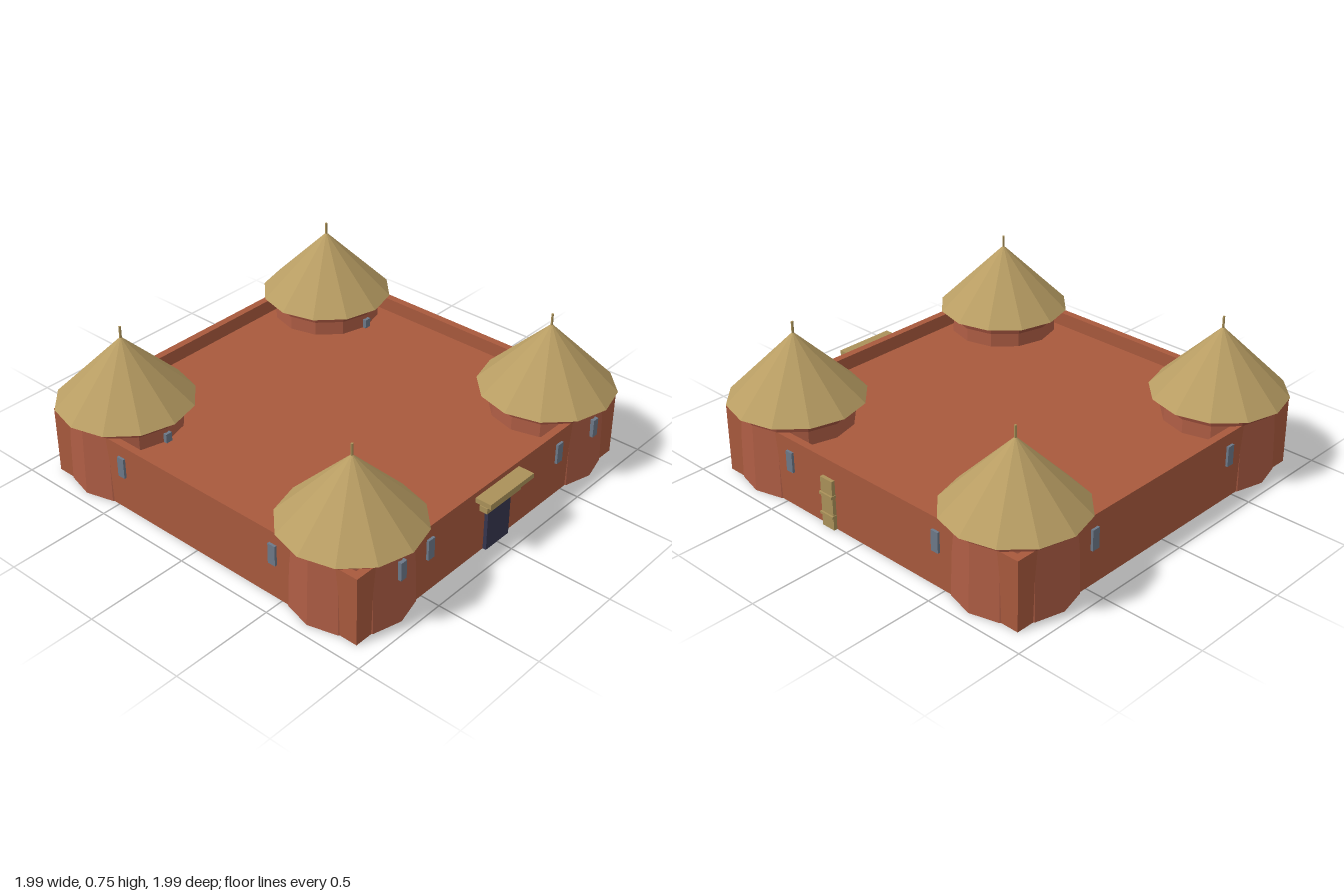
import * as THREE from 'three';

const mat = (name, color) => {
  const m = new THREE.MeshStandardMaterial({ color, flatShading: true });
  m.name = name;
  return m;
};

export function createModel() {
  const clay = mat('clay', 0xa8593d);
  const towerClay = mat('tower clay', 0xae5d44);
  const bandClay = mat('band clay', 0x934a37);
  const thatch = mat('thatch', 0xb89d63);
  const wood = mat('pale wood', 0xaa9159);
  const doorMat = mat('dark door', 0x36364f);
  const shutter = mat('grey shutter', 0x6c7888);

  const root = new THREE.Group();
  root.name = 'walledCompound';

  const add = (parent, name, geo, m, x, y, z) => {
    const mesh = new THREE.Mesh(geo, m);
    mesh.name = name;
    mesh.position.set(x, y, z);
    parent.add(mesh);
    return mesh;
  };
  // box given by its centre in x and z and its bottom in y
  const box = (parent, name, m, w, h, d, x, y, z) =>
    add(parent, name, new THREE.BoxGeometry(w, h, d), m, x, y + h / 2, z);
  const drum = (parent, name, m, rTop, rBottom, y0, y1, sides = 12) =>
    add(parent, name, new THREE.CylinderGeometry(rTop, rBottom, y1 - y0, sides), m, 0, (y0 + y1) / 2, 0);

  // Enclosure: square rim of wall around a raised flat deck
  const H = 0.335, OUT = 0.905, INN = 0.868, DECK = 0.265;
  const square = (P, s) => P.moveTo(-s, -s).lineTo(s, -s).lineTo(s, s).lineTo(-s, s).closePath();
  const rim = square(new THREE.Shape(), OUT);
  rim.holes.push(square(new THREE.Path(), INN));
  const wallGeo = new THREE.ExtrudeGeometry(rim, { depth: H, bevelEnabled: false });
  wallGeo.rotateX(-Math.PI / 2);
  add(root, 'outerWall', wallGeo, clay, 0, 0, 0);
  box(root, 'deck', clay, INN * 2, DECK, INN * 2, 0, 0, 0);

  // Two shuttered windows on each of the four walls
  for (let i = 0; i < 4; i++) {
    const side = new THREE.Group();
    side.name = 'wallWindows';
    side.rotation.y = i * Math.PI / 2;
    for (const s of [-1, 1]) box(side, 'wallWindow', shutter, 0.04, 0.1, 0.02, s * 0.455, 0.175, 0.907);
    root.add(side);
  }

  // Corner towers with thatched cones
  for (const sx of [-1, 1]) for (const sz of [-1, 1]) {
    const tower = new THREE.Group();
    tower.name = 'cornerTower';
    tower.position.set(sx * 0.675, 0, sz * 0.675);
    drum(tower, 'towerBody', towerClay, 0.26, 0.272, 0, 0.385);
    drum(tower, 'towerBand', bandClay, 0.267, 0.267, 0.335, 0.365);
    drum(tower, 'thatchRoof', thatch, 0, 0.322, 0.38, 0.7);
    drum(tower, 'roofPole', wood, 0.006, 0.006, 0.68, 0.75, 6);
    box(tower, 'towerWindow', shutter, 0.034, 0.09, 0.03, 0, 0.22, 0.262);
    root.add(tower);
  }

  // Front entrance: door, lintel and canopy
  box(root, 'door', doorMat, 0.16, 0.225, 0.03, 0, 0, 0.908);
  box(root, 'doorLintel', wood, 0.24, 0.028, 0.06, 0, 0.224, 0.915);
  box(root, 'doorCanopy', wood, 0.305, 0.024, 0.085, 0, 0.286, 0.942);

  // Plank side door with two crossbars
  box(root, 'sideDoor', wood, 0.026, 0.245, 0.074, 0.91, 0, 0.203);
  for (const y of [0.06, 0.16]) box(root, 'sideDoorBar', wood, 0.034, 0.013, 0.08, 0.915, y, 0.203);

  return root;
}
